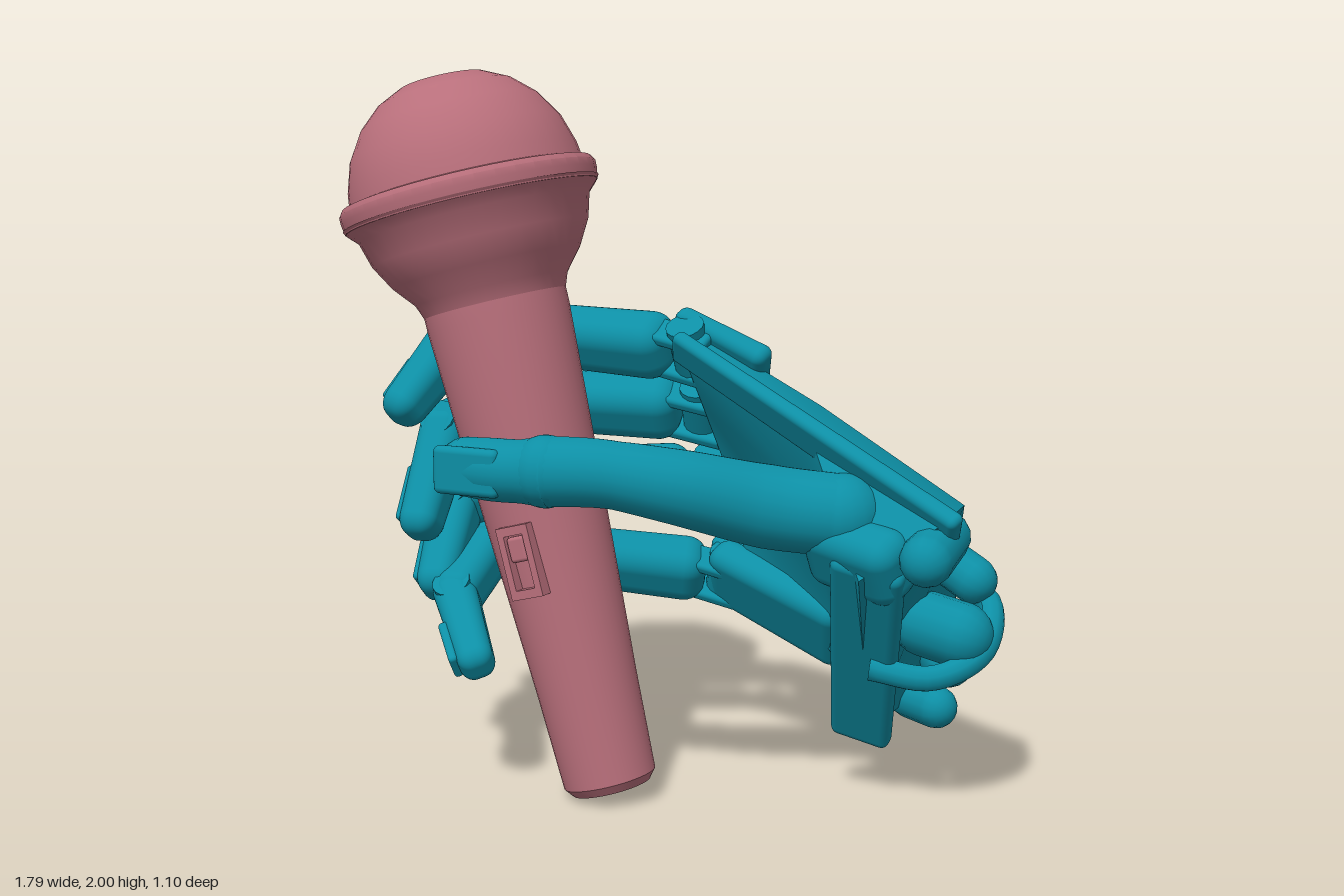
import * as THREE from 'three';
import { toCreasedNormals } from 'three/addons/utils/BufferGeometryUtils.js';
import { RoundedBoxGeometry } from 'three/addons/geometries/RoundedBoxGeometry.js';

const teal = new THREE.MeshStandardMaterial({ color: 0x0d8fa5 });
const rose = new THREE.MeshStandardMaterial({ color: 0xb86f7b });
const V = (p) => new THREE.Vector3(...p);
const ACROSS = new THREE.Vector3(0, 0.85, 0.5).normalize(); // finger hinge direction

function add(parent, geo, mat, name) {
  const m = new THREE.Mesh(geo, mat);
  m.name = name;
  parent.add(m);
  return m;
}

// Frame with y along a->b and x along the hinge direction
function frame(a, b) {
  const y = b.clone().sub(a).normalize();
  const x = ACROSS.clone().addScaledVector(y, -ACROSS.dot(y)).normalize();
  return new THREE.Matrix4().makeBasis(x, y, x.clone().cross(y)).setPosition(a.clone().lerp(b, 0.5));
}

// Rounded finger bone from a to b, tapering towards b
function bone(parent, a, b, w, d, taper, name) {
  const len = a.distanceTo(b);
  const g = new RoundedBoxGeometry(w, len, d, 4, Math.min(w, d, len) * 0.38);
  const p = g.attributes.position;
  for (let i = 0; i < p.count; i++) {
    const s = 1 + (taper - 1) * (p.getY(i) / len + 0.5);
    p.setX(i, p.getX(i) * s);
    p.setZ(i, p.getZ(i) * s);
  }
  g.applyMatrix4(frame(a, b));
  return add(parent, g, teal, name);
}

// Hinge pin across a finger at point a
function pin(parent, a, b, r, w) {
  const g = new THREE.CylinderGeometry(r, r, w, 16).rotateZ(Math.PI / 2);
  g.applyMatrix4(frame(a, b).setPosition(a));
  add(parent, g, teal, 'hingePin');
}

// Tube whose radius follows a list of values along its length
function taperedTube(points, radii, segs, radial) {
  const curve = new THREE.CatmullRomCurve3(points.map(V));
  const g = new THREE.TubeGeometry(curve, segs, 1, radial, false);
  const p = g.attributes.position, v = new THREE.Vector3();
  for (let i = 0; i <= segs; i++) {
    const c = curve.getPointAt(i / segs), f = (i / segs) * (radii.length - 1);
    const k = Math.min(Math.floor(f), radii.length - 2);
    const r = THREE.MathUtils.lerp(radii[k], radii[k + 1], f - k);
    for (let j = 0; j <= radial; j++) {
      const n = i * (radial + 1) + j;
      v.fromBufferAttribute(p, n).sub(c).multiplyScalar(r).add(c);
      p.setXYZ(n, v.x, v.y, v.z);
    }
  }
  g.computeVertexNormals();
  return g;
}

// Closed skin over equal cross-sections
function loft(sections) {
  const n = sections[0].length, pos = sections.flat(2), idx = [];
  for (let s = 0; s < sections.length - 1; s++)
    for (let j = 0; j < n; j++) {
      const a = s * n + j, b = s * n + (j + 1) % n;
      idx.push(a, a + n, b, b, a + n, b + n);
    }
  const last = (sections.length - 1) * n;
  for (let j = 0; j < n / 2 - 1; j++) { // end strips between back and palm sides
    const a = j, b = j + 1, c = n - 2 - j, d = n - 1 - j;
    idx.push(a, b, c, a, c, d, last + a, last + c, last + b, last + a, last + d, last + c);
  }
  const g = new THREE.BufferGeometry();
  g.setAttribute('position', new THREE.Float32BufferAttribute(pos, 3));
  g.setIndex(idx);
  return toCreasedNormals(g, 0.75);
}

function buildMicrophone() {
  const mic = new THREE.Group();
  mic.name = 'microphone';
  const lathe = (pts, name) => add(mic, toCreasedNormals(
    new THREE.LatheGeometry(pts.map(([r, y]) => new THREE.Vector2(r, y)), 40), 0.6), rose, name);
  lathe([[0, 0.02], [0.03, 0.02], [0.05, 0], [0.11, 0], [0.13, 0.025], [0.142, 0.3], [0.165, 0.7],
    [0.182, 1.0], [0.2, 1.34], [0.2, 1.4]], 'handle');
  lathe([[0.2, 1.38], [0.215, 1.42], [0.265, 1.48], [0.305, 1.55], [0.325, 1.62], [0.35, 1.645],
    [0.36, 1.66]], 'headBowl');
  lathe([[0.33, 1.645], [0.355, 1.65], [0.36, 1.68], [0.36, 1.7], [0.35, 1.715], [0.325, 1.72]], 'headRing');
  lathe([[0.33, 1.7], [0.322, 1.76], [0.297, 1.84], [0.25, 1.915], [0.19, 1.97], [0.12, 2.005],
    [0.07, 2.01], [0, 2.015]], 'grille');
  // Sliding switch with a raised frame
  const rect = (w, h) => [[-w, -h], [w, -h], [w, h], [-w, h]].map(p => new THREE.Vector2(...p));
  const frameShape = new THREE.Shape(rect(0.05, 0.1));
  frameShape.holes.push(new THREE.Path(rect(0.03, 0.075)));
  const sf = add(mic, new THREE.ExtrudeGeometry(frameShape, { depth: 0.06, bevelEnabled: false }), rose, 'switchFrame');
  sf.position.set(0, 0.68, 0.13);
  const sb = add(mic, new RoundedBoxGeometry(0.055, 0.07, 0.06, 2, 0.01), rose, 'switchButton');
  sb.position.set(0, 0.715, 0.158);
  mic.position.set(-0.1, 0.03, 0.185);
  mic.rotation.z = 0.263;
  return mic;
}

function buildHand() {
  const hand = new THREE.Group();
  hand.name = 'hand';

  // Palm shell: knuckle, middle and wrist cross-sections (four back, four palm points)
  add(hand, loft([
    [[0, 1.25, -0.03], [-0.02, 1.28, -0.17], [-0.06, 1.08, -0.39], [-0.08, 0.85, -0.51],
      [0.02, 0.63, -0.48], [0.04, 0.62, -0.37], [0, 0.85, -0.34], [0, 1.06, -0.18]],
    [[0.4, 1.07, 0.01], [0.38, 1.09, -0.14], [0.34, 0.92, -0.38], [0.32, 0.7, -0.48],
      [0.36, 0.4, -0.46], [0.36, 0.33, -0.32], [0.36, 0.6, -0.22], [0.38, 0.86, -0.05]],
    [[0.83, 0.85, 0.12], [0.83, 0.87, -0.04], [0.74, 0.72, -0.27], [0.69, 0.52, -0.4],
      [0.66, 0.32, -0.46], [0.52, 0.17, -0.18], [0.58, 0.42, 0.02], [0.64, 0.7, 0.22]],
  ]), teal, 'palm');

  // Index edge flange
  bone(hand, V([-0.01, 1.25, -0.03]), V([0.86, 0.82, 0.1]), 0.1, 0.045, 1.2, 'palmEdge');
  // Heel panel running down the wrist to the little finger side
  bone(hand, V([0.65, 0.74, 0.18]), V([0.5, 0.16, -0.17]), 0.2, 0.07, 0.85, 'heelPanel');

  // Wrist lugs
  for (const [a, b, r] of [
    [[0.79, 0.79, 0.0], [0.8, 0.76, 0.16], 0.07], [[0.7, 0.68, -0.24], [0.8, 0.63, -0.22], 0.065],
    [[0.7, 0.52, -0.12], [0.8, 0.5, -0.12], 0.09], [[0.64, 0.38, -0.38], [0.7, 0.36, -0.32], 0.07],
    [[0.58, 0.24, -0.34], [0.68, 0.24, -0.28], 0.06]]) {
    const p = V(a), q = V(b);
    const g = new THREE.CapsuleGeometry(r, p.distanceTo(q), 6, 14).applyMatrix4(frame(p, q));
    add(hand, g, teal, 'wristLug');
  }
  // Strap loop over the wrist
  add(hand, taperedTube([[0.6, 0.42, 0.03], [0.76, 0.4, -0.02], [0.86, 0.46, -0.12], [0.85, 0.56, -0.22],
    [0.74, 0.6, -0.3]], [0.035, 0.035], 24, 10), teal, 'wristStrap');

  // Fingers: knuckle, middle joint, end joint, (extra bend), tip
  const fingers = {
    indexFinger: [[-0.02, 1.225, -0.14], [-0.54, 1.245, -0.14], [-0.71, 1.23, 0.0], [-0.79, 1.04, 0.17]],
    middleFinger: [[-0.07, 1.03, -0.31], [-0.58, 1.04, -0.19], [-0.74, 0.97, 0.01], [-0.72, 0.71, 0.19]],
    ringFinger: [[-0.1, 0.81, -0.45], [-0.56, 0.8, -0.21], [-0.72, 0.75, -0.01], [-0.67, 0.54, 0.18]],
    littleFinger: [[-0.04, 0.52, -0.42], [-0.45, 0.57, -0.23], [-0.63, 0.61, -0.02], [-0.6, 0.52, 0.19], [-0.42, 0.39, 0.37]],
  };
  const palmDir = new THREE.Vector3(0.9, -0.4, 0.04).normalize(); // knuckle to wrist
  const palmBack = new THREE.Vector3(0.42, 0.45, -0.79).multiplyScalar(0.05);
  for (const [name, path] of Object.entries(fingers)) {
    const f = new THREE.Group();
    f.name = name;
    hand.add(f);
    const p = path.map(V);
    for (let i = 0; i < p.length - 1; i++) {
      const dir = p[i + 1].clone().sub(p[i]).normalize();
      const start = p[i].clone().addScaledVector(dir, i ? -0.05 : 0.06);
      const end = p[i + 1].clone().addScaledVector(dir, 0.035);
      const w = [0.18, 0.165, 0.155, 0.135][i];
      bone(f, start, end, w, w * 0.95, i === p.length - 2 ? 0.76 : 0.92, ['proximalBone', 'middleBone', 'endBone', 'tipBone'][i]);
      pin(f, p[i], p[i + 1], 0.055, w * 0.9);
    }
    // Fingernail pad on the last bone
    const e = p[p.length - 1], s = p[p.length - 2];
    const nail = bone(f, s.clone().lerp(e, 0.45), s.clone().lerp(e, 0.98), 0.09, 0.03, 0.85, 'nail');
    const out = new THREE.Vector3().setFromMatrixColumn(frame(s, e), 2);
    if (out.x > 0) out.negate();
    nail.position.copy(out.multiplyScalar(0.057));
    // Knuckle fork: two thin cheeks either side of the hinge
    const dir = p[1].clone().sub(p[0]).normalize();
    for (const side of [-1, 1]) {
      const o = ACROSS.clone().multiplyScalar(0.06 * side);
      bone(f, p[0].clone().addScaledVector(palmDir, 0.08).add(o), p[0].clone().addScaledVector(dir, 0.13).add(o), 0.035, 0.1, 0.9, 'knuckleFork');
    }
    // Rounded lobe of the palm back reaching over the hinge
    const top = p[0].clone().add(palmBack);
    bone(f, top.clone().addScaledVector(palmDir, 0.22), top.clone().addScaledVector(palmDir, -0.09), 0.18, 0.075, 0.8, 'knuckleCap');
  }
  // Separate bar carrying the little finger
  bone(hand, V([0.38, 0.39, -0.36]), V([-0.07, 0.54, -0.41]), 0.25, 0.13, 0.85, 'littleFingerBar');

  // Thumb
  const thumb = new THREE.Group();
  thumb.name = 'thumb';
  hand.add(thumb);
  add(thumb, taperedTube([[0.54, 0.84, 0.09], [0.36, 0.86, 0.16], [0.15, 0.92, 0.3], [-0.02, 0.95, 0.37],
    [-0.18, 0.95, 0.41]], [0.11, 0.112, 0.102, 0.09, 0.095], 32, 20), teal, 'thumbBone');
  add(thumb, taperedTube([[-0.15, 0.95, 0.405], [-0.28, 0.945, 0.42], [-0.42, 0.945, 0.415]],
    [0.097, 0.085, 0.085, 0.08], 16, 20), teal, 'thumbTip');
  for (const [c, r] of [[[0.54, 0.84, 0.09], 0.112], [[-0.17, 0.95, 0.408], 0.097], [[-0.41, 0.945, 0.415], 0.08]]) {
    add(thumb, new THREE.SphereGeometry(r, 20, 14), teal, 'thumbJoint').position.set(...c);
  }
  const nail = add(thumb, new RoundedBoxGeometry(0.2, 0.13, 0.04, 3, 0.018), teal, 'thumbNail');
  nail.position.set(-0.37, 0.945, 0.48);
  // Thumb root blending into the wrist
  bone(thumb, V([0.46, 0.76, 0.08]), V([0.74, 0.72, 0.16]), 0.2, 0.15, 1, 'thumbRoot');
  return hand;
}

export function createModel() {
  const model = new THREE.Group();
  model.name = 'handHoldingMicrophone';
  model.add(buildMicrophone(), buildHand());
  return model;
}
